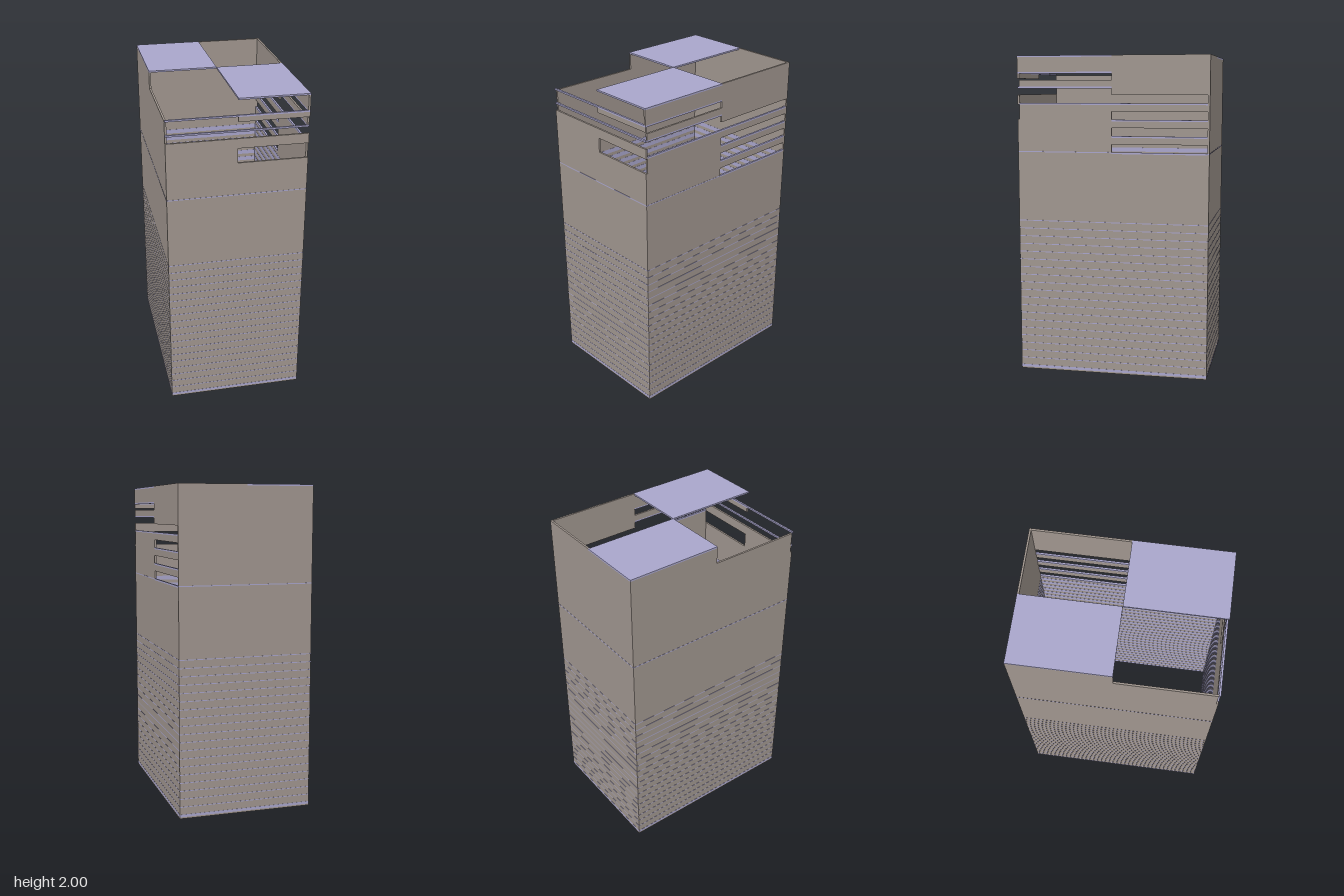
import * as THREE from 'three';

const HX = 0.42, HZ = 0.6, T = 0.012;

export function createModel() {
  const group = new THREE.Group();
  const wallMat = new THREE.MeshStandardMaterial({ color: 0xa0968f });
  wallMat.name = 'warm grey wall';
  const slabMat = new THREE.MeshStandardMaterial({ color: 0xa9a6cc });
  slabMat.name = 'lavender slab';

  // Box given by its two extreme corners
  function block(name, mat, x0, x1, y0, y1, z0, z1) {
    const mesh = new THREE.Mesh(new THREE.BoxGeometry(x1 - x0, y1 - y0, z1 - z0), mat);
    mesh.position.set((x0 + x1) / 2, (y0 + y1) / 2, (z0 + z1) / 2);
    mesh.name = name;
    group.add(mesh);
  }
  const front = (name, mat, x0, x1, y0, y1) => block(name, mat, x0, x1, y0, y1, HZ - T, HZ);
  const side = (name, mat, z0, z1, y0, y1) => block(name, mat, HX - T, HX, y0, y1, z0, z1);

  // Closed back wall and left-hand wall, stepped down beside the open quarter
  block('backWall', wallMat, -HX, 0, 0, 1.99, -HZ, -HZ + T);
  block('backWall', wallMat, 0, HX, 0, 2, -HZ, -HZ + T);
  block('closedSideWall', wallMat, -HX, -HX + T, 0, 1.99, -HZ + T, 0);
  block('closedSideWall', wallMat, -HX, -HX + T, 0, 1.89, 0, HZ - T);

  // Front wall with its openings: [x0, x1, y0, y1]
  for (const p of [
    [-HX, HX, 0, 1.61], [-HX, 0, 1.61, 1.7], [-HX, HX, 1.7, 1.76], [0, HX, 1.86, 1.89],
  ]) front('frontWall', wallMat, ...p);
  for (const y of [1.8, 1.89]) front('frontSlabEdge', slabMat, -HX, HX, y, y + 0.01);

  // Slotted side wall: [z0, z1, y0, y1]
  const back = -HZ + T, fore = HZ - T;
  for (const p of [
    [back, 0, 0, 1.4], [back, 0, 1.46, 1.5], [back, 0, 1.56, 1.6], [back, 0, 1.66, 1.7],
    [back, 0, 1.76, 2], [0, fore, 0, 1.7], [0, fore, 1.81, 1.85], [0, fore, 1.9, 1.99],
  ]) side('slottedSideWall', wallMat, ...p);
  for (const y of [1.4, 1.5, 1.6, 1.7]) side('slotSill', slabMat, back, 0, y, y + 0.01);
  for (const y of [1.7, 1.8, 1.89]) side('slotSill', slabMat, 0, fore, y, y + 0.01);
  block('cornerWall', wallMat, HX - T, HX, 1.9, 1.99, fore, HZ);

  // Two opposite roof quarters
  block('roofQuarter', slabMat, -HX, 0, 1.99, 2, -HZ, 0);
  block('roofQuarter', slabMat, 0, HX, 1.99, 2, 0, HZ);

  // Thin painted ring, outside or inside the four walls
  function ring(name, y, h, hx, hz) {
    const t = 0.001;
    for (const s of [-1, 1]) {
      const x = s * hx, z = s * hz;
      block(name, slabMat, x - t, x + t, y, y + h, -hz, hz);
      block(name, slabMat, -hx, hx, y, y + h, z - t, z + t);
    }
  }
  // Storey lines outside, wider slab bands inside
  ring('baseLine', 0.01, 0.016, HX, HZ);
  for (let i = 1; i < 20; i++) ring('storeyLine', 0.02 + i * 0.05, 0.005, HX, HZ);
  for (let i = 0; i < 28; i++) ring('innerSlabBand', 0.005 + i * 0.05, 0.028, HX - T, HZ - T);
  ring('upperLine', 1.405, 0.006, HX, HZ);
  return group;
}
